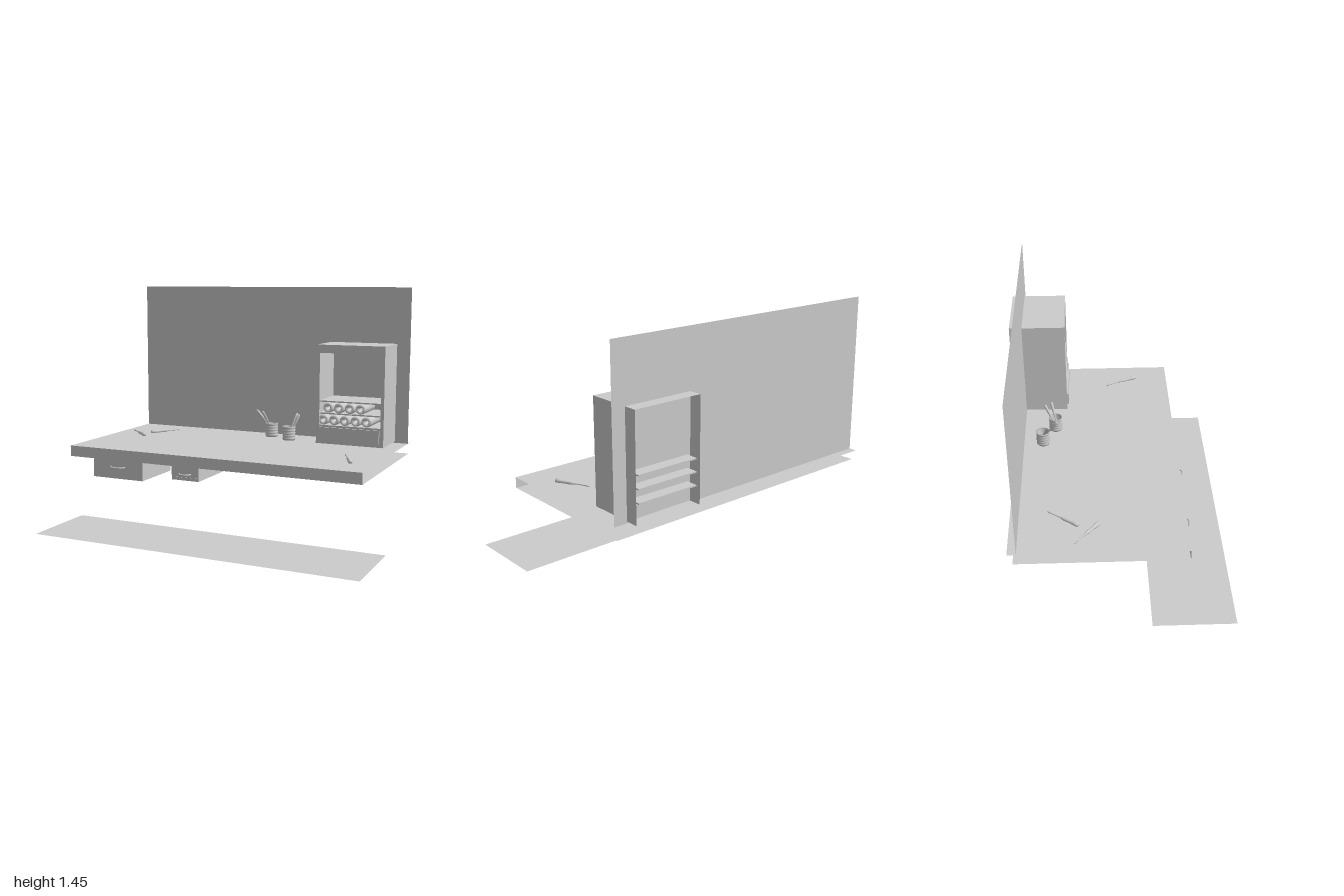
import * as THREE from 'three';

const mat = new THREE.MeshStandardMaterial({ color: 0xcccccc, side: THREE.DoubleSide });

function add(parent, name, geometry, x = 0, y = 0, z = 0) {
  const mesh = new THREE.Mesh(geometry, mat);
  mesh.name = name;
  mesh.position.set(x, y, z);
  parent.add(mesh);
  return mesh;
}

// Open flat sheets, given by their bounds
function flat(parent, name, x0, x1, z0, z1, y) {
  const g = new THREE.PlaneGeometry(x1 - x0, z1 - z0).rotateX(-Math.PI / 2);
  return add(parent, name, g, (x0 + x1) / 2, y, (z0 + z1) / 2);
}
function upright(parent, name, x0, x1, y0, y1, z) {
  return add(parent, name, new THREE.PlaneGeometry(x1 - x0, y1 - y0), (x0 + x1) / 2, (y0 + y1) / 2, z);
}
function side(parent, name, z0, z1, y0, y1, x) {
  const g = new THREE.PlaneGeometry(z1 - z0, y1 - y0).rotateY(Math.PI / 2);
  return add(parent, name, g, x, (y0 + y1) / 2, (z0 + z1) / 2);
}
function block(parent, name, x0, x1, y0, y1, z0, z1) {
  const g = new THREE.BoxGeometry(x1 - x0, y1 - y0, z1 - z0);
  return add(parent, name, g, (x0 + x1) / 2, (y0 + y1) / 2, (z0 + z1) / 2);
}
const lathe = (points, n) => new THREE.LatheGeometry(points.map(p => new THREE.Vector2(...p)), n);

// Turned tool running from a to b; the profile is [radius, fraction of length]
function tool(parent, name, a, b, profile) {
  const from = new THREE.Vector3(...a), dir = new THREE.Vector3(...b).sub(from);
  const mesh = add(parent, name, lathe(profile.map(([r, t]) => [r, t * dir.length()]), 10), ...a);
  mesh.quaternion.setFromUnitVectors(new THREE.Vector3(0, 1, 0), dir.normalize());
}

// Drawer without bottom or back, with a bowed handle
function drawer(parent, x0, x1, y0, y1, zFront, handleWidth) {
  const g = new THREE.Group();
  g.name = 'drawer';
  parent.add(g);
  upright(g, 'drawerFront', x0, x1, y0, y1, zFront);
  for (const x of [x0, x1]) side(g, 'drawerSide', 0.03, zFront, y0, y1, x);
  const w = handleWidth / 2;
  const path = new THREE.CatmullRomCurve3([[-w, 0], [-w * 0.55, 0.022], [w * 0.55, 0.022], [w, 0]]
    .map(([x, z]) => new THREE.Vector3(x, 0, z)));
  add(g, 'drawerHandle', new THREE.TubeGeometry(path, 16, 0.005, 8), (x0 + x1) / 2, 0.39, zFront);
  return g;
}

function cabinet(parent) {
  const g = new THREE.Group();
  g.name = 'cabinet';
  parent.add(g);
  const x0 = 0.415, x1 = 0.84, y0 = 0.505, y1 = 1.11, zb = -0.645, zf = -0.305;
  const ix0 = 0.435, ix1 = 0.82, iy0 = 0.62, iy1 = 1.06;

  // Outer shell, open at the back
  flat(g, 'cabinetTop', x0, x1, zb, zf, y1);
  flat(g, 'cabinetBottom', x0, x1, zb, zf, y0);
  for (const x of [x0, x1]) side(g, 'cabinetSide', zb, zf, y0, y1, x);

  // Front frame around the opening
  const frame = new THREE.Shape([[x0, y0], [x1, y0], [x1, y1], [x0, y1]].map(p => new THREE.Vector2(...p)));
  frame.holes.push(new THREE.Path([[ix0, iy0], [ix0, iy1], [ix1, iy1], [ix1, iy0]].map(p => new THREE.Vector2(...p))));
  add(g, 'cabinetFrame', new THREE.ShapeGeometry(frame), 0, 0, zf);

  // Inner lining and shelves
  for (const x of [ix0, ix1]) side(g, 'cabinetLining', -0.565, zf, iy0, iy1, x);
  flat(g, 'cabinetCeiling', ix0, ix1, -0.565, zf, iy1);
  for (const y of [0.616, 0.692, 0.766]) block(g, 'shelf', ix0, ix1, y - 0.004, y + 0.004, zb + 0.005, zf - 0.001);

  // Low front panel
  block(g, 'cabinetDrawer', 0.437, 0.815, 0.527, 0.608, zf, -0.294);

  // Rolls stacked in two rows on the shelves
  const roll = lathe([[0.012, 0], [0.031, 0], [0.031, 0.2], [0.012, 0.2], [0.012, 0]], 20).rotateX(Math.PI / 2);
  for (const [n, x, y] of [[5, 0.46, 0.652], [4, 0.49, 0.727]])
    for (let i = 0; i < n; i++) add(g, 'roll', roll, x + i * 0.068, y, -0.515);
}

// Ribbed cup, open at the top
function cup(parent, x, z) {
  const pts = [[0, 0.003], [0.037, 0.003]];
  for (let i = 0; i < 5; i++) pts.push([0.037, 0.006 + i * 0.017], [0.041, 0.011 + i * 0.017], [0.041, 0.017 + i * 0.017]);
  pts.push([0.041, 0.09], [0.036, 0.09], [0.035, 0.012], [0, 0.012]);
  add(parent, 'cup', lathe(pts, 24), x, 0.495, z);
}

export function createModel() {
  const model = new THREE.Group();
  model.name = 'workbench';
  const L = -0.928, R = 0.922;

  flat(model, 'floor', -1, 1, 0.165, 0.64, 0);

  // Table shell, open at the ends and back
  flat(model, 'tableTop', L, R, -0.618, 0.367, 0.495);
  flat(model, 'tableUnderside', L, R, -0.59, 0.367, 0.43);
  upright(model, 'tableFront', L, R, 0.43, 0.495, 0.367);
  upright(model, 'backWall', L, R, 0.495, 1.453, -0.568);

  // Drawers hanging below the table
  drawer(model, -0.76, -0.42, 0.32, 0.432, 0.369, 0.1);
  const small = drawer(model, -0.22, -0.045, 0.353, 0.432, 0.373, 0.075);
  block(small, 'drawerLip', -0.215, -0.05, 0.367, 0.371, 0.371, 0.376);

  cabinet(model);

  // Cups with brushes
  cup(model, 0.06, -0.45);
  cup(model, 0.21, -0.375);
  const brush = [[0, 0], [0.004, 0.02], [0.004, 0.5], [0.009, 0.72], [0.009, 0.92], [0.006, 1], [0, 1]];
  tool(model, 'brush', [0.088, 0.5, -0.478], [-0.028, 0.67, -0.41], brush);
  tool(model, 'brush', [0.075, 0.5, -0.47], [0.035, 0.67, -0.36], brush);
  tool(model, 'brush', [0.2, 0.48, -0.355], [0.24, 0.66, -0.44], brush);
  tool(model, 'brush', [0.205, 0.49, -0.36], [0.268, 0.66, -0.4], brush);

  // Carving tools lying on the table, handle end first
  const carver = [[0, 0], [0.012, 0.02], [0.013, 0.12], [0.009, 0.3], [0.011, 0.45], [0.007, 0.52],
    [0.004, 0.58], [0.004, 0.85], [0.006, 0.92], [0, 1]];
  tool(model, 'carvingTool', [-0.695, 0.503, -0.12], [-0.862, 0.503, -0.265], carver);
  tool(model, 'carvingTool', [-0.713, 0.503, -0.235], [-0.588, 0.503, -0.412], carver);
  tool(model, 'carvingTool', [0.788, 0.503, 0.16], [0.692, 0.503, -0.045], carver);

  return model;
}
